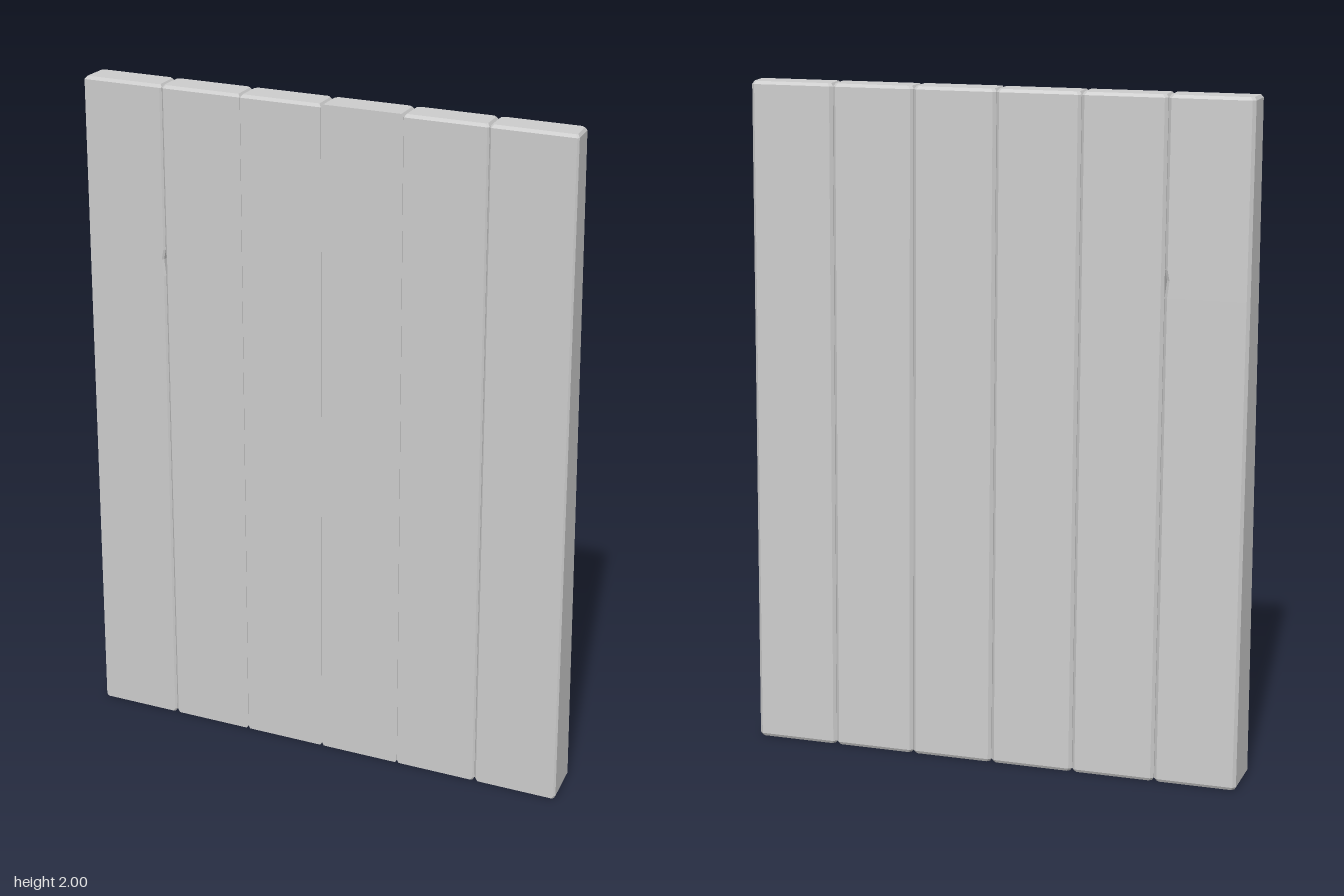
import * as THREE from 'three';

const H = 2, FRONT = 0.08, BEVEL = 0.009;
// plank edges along x at the front face, and their sideways drift at the back
const EDGES = [-0.757, -0.505, -0.253, -0.001, 0.249, 0.5, 0.757];
const DRIFT = [0, -0.006, -0.008, -0.009, -0.01, -0.014, -0.019];

const backZ = (y) => -0.08 + 0.03 * y;

// Horizontal outline of plank i, running front left, front right, back right, back left
function outline(i, { y, inset = 0, frontInset = 0, backInset = 0, dent = 0 }) {
  const zf = FRONT - frontInset, zb = backZ(y) + backInset;
  const edge = (k, z) => EDGES[k] + DRIFT[k] * (FRONT - z) / 0.16;
  const left = (z) => edge(i, z) + inset + 0.0005;
  const right = (z) => edge(i + 1, z) - inset - dent - 0.0005;
  // the four middle planks share one unbroken front face
  const cl = i === 1 || i === 5 ? BEVEL * 0.6 : 0;
  const cr = i === 0 || i >= 4 ? BEVEL * 0.6 : 0;
  const b = BEVEL;
  const pts = [];
  if (cl) pts.push([left(zf - cl), zf - cl]);
  pts.push([left(zf) + cl, zf], [right(zf) - cr, zf]);
  if (cr) pts.push([right(zf - cr), zf - cr]);
  pts.push([right(zb + b), zb + b], [right(zb) - b, zb], [left(zb) + b, zb], [left(zb + b), zb + b]);
  return pts.map(([x, z]) => [x, y, z]);
}

// Skin a stack of outlines, closed at both ends
function loft(rings) {
  const n = rings[0].length, index = [];
  for (let r = 0; r < rings.length - 1; r++) {
    for (let j = 0; j < n; j++) {
      const a = r * n + j, b = r * n + (j + 1) % n;
      index.push(a, b, b + n, a, b + n, a + n);
    }
  }
  const top = (rings.length - 1) * n;
  for (let j = 1; j < n - 1; j++) {
    index.push(0, j + 1, j, top, top + j, top + j + 1);
  }
  const g = new THREE.BufferGeometry();
  g.setAttribute('position', new THREE.Float32BufferAttribute(rings.flat(2), 3));
  g.setIndex(index);
  const flat = g.toNonIndexed();
  flat.computeVertexNormals();
  return flat;
}

export function createModel() {
  const group = new THREE.Group();
  group.name = 'plankPanel';
  const material = new THREE.MeshStandardMaterial({ color: 0xcccccc, flatShading: true });

  for (let i = 0; i < 6; i++) {
    const levels = [
      { y: 0, inset: BEVEL * 0.6, backInset: BEVEL * 0.6 },
      { y: BEVEL },
      { y: H - BEVEL },
      // one middle plank keeps a sharp front top edge
      { y: H, inset: BEVEL * 0.7, frontInset: i === 3 ? 0 : BEVEL * 0.7, backInset: BEVEL * 0.7 },
    ];
    // small chip in the edge of the first plank
    if (i === 0) levels.splice(2, 0, { y: 1.43 }, { y: 1.48, dent: 0.006 }, { y: 1.51 });
    const plank = new THREE.Mesh(loft(levels.map((l) => outline(i, l))), material);
    plank.name = `plank${i + 1}`;
    group.add(plank);
  }
  return group;
}
